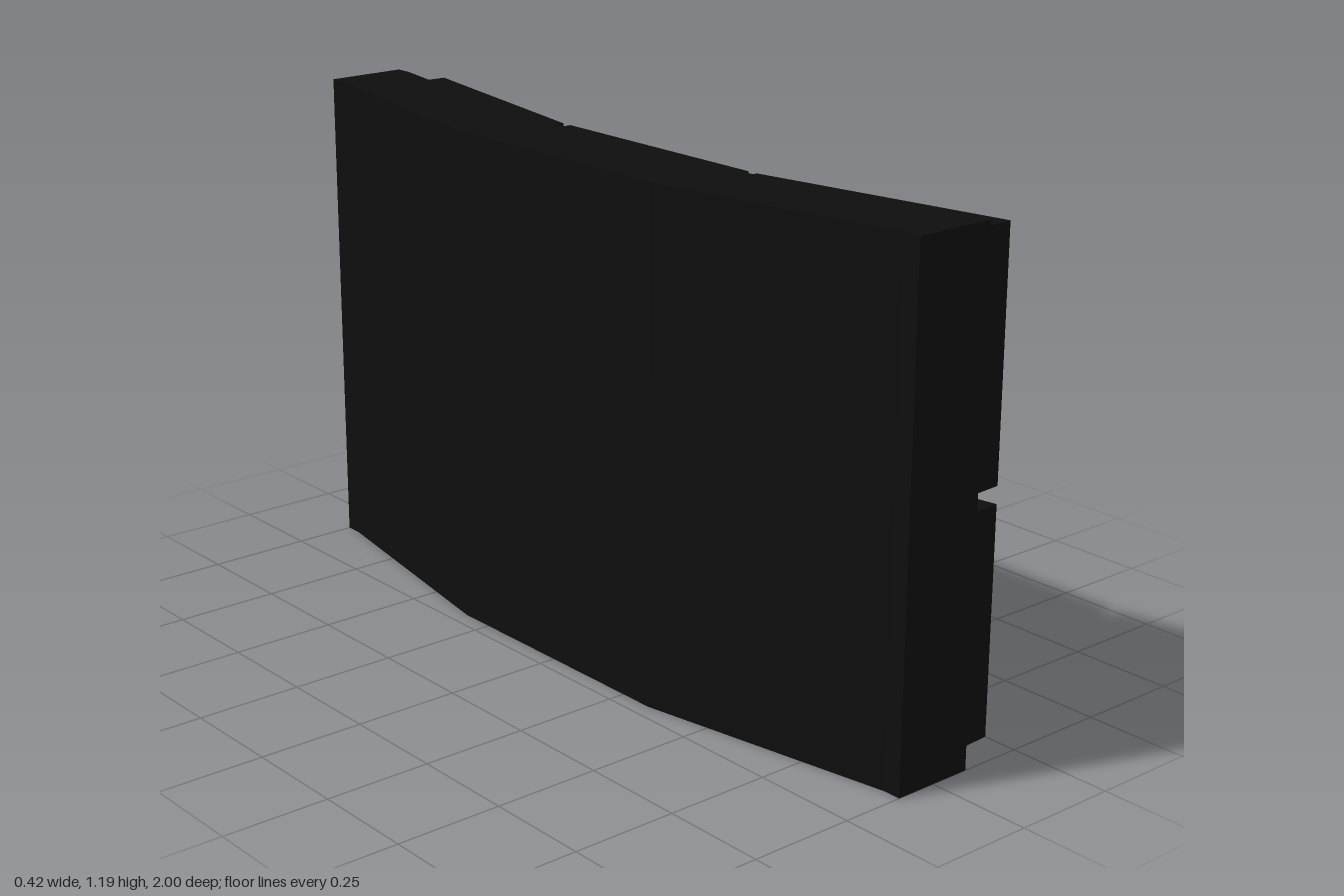
import * as THREE from 'three';

const black = new THREE.MeshStandardMaterial({ color: 0x0e0e0e });
black.name = 'black';

// Vertical prism from an [x, z] outline, between two heights
function prism(name, outline, y0, y1) {
  const shape = new THREE.Shape(outline.map(([x, z]) => new THREE.Vector2(x, -z)));
  const geometry = new THREE.ExtrudeGeometry(shape, { depth: y1 - y0, bevelEnabled: false });
  geometry.rotateX(-Math.PI / 2).translate(0, y0, 0);
  const mesh = new THREE.Mesh(geometry, black);
  mesh.name = name;
  return mesh;
}

const mirrorZ = (outline) => outline.map(([x, z]) => [x, -z]).reverse();

export function createModel() {
  const model = new THREE.Group();
  model.name = 'bentPanelWall';

  // Backing wall bent in three, with a short straight flange at each end
  const half = [[-0.21, 0.336], [-0.1, 0.958], [-0.1, 1], [0.098, 1], [0.098, 0.958], [-0.012, 0.33]];
  model.add(prism('backingWall', [...half, ...mirrorZ(half)], 0, 1.19));

  // Raised panels: two rows of three, with slightly tapered ends
  const middle = [[-0.014, -0.311], [0.095, -0.306], [0.095, 0.306], [-0.014, 0.311]];
  const side = [[-0.014, 0.338], [0.095, 0.332], [0.206, 0.956], [0.096, 0.963]];
  const rows = { lower: [0.028, 0.558], upper: [0.598, 1.162] };
  for (const [row, [y0, y1]] of Object.entries(rows)) {
    model.add(prism(row + 'MiddlePanel', middle, y0, y1));
    model.add(prism(row + 'FrontPanel', side, y0, y1));
    model.add(prism(row + 'BackPanel', mirrorZ(side), y0, y1));
  }
  return model;
}
